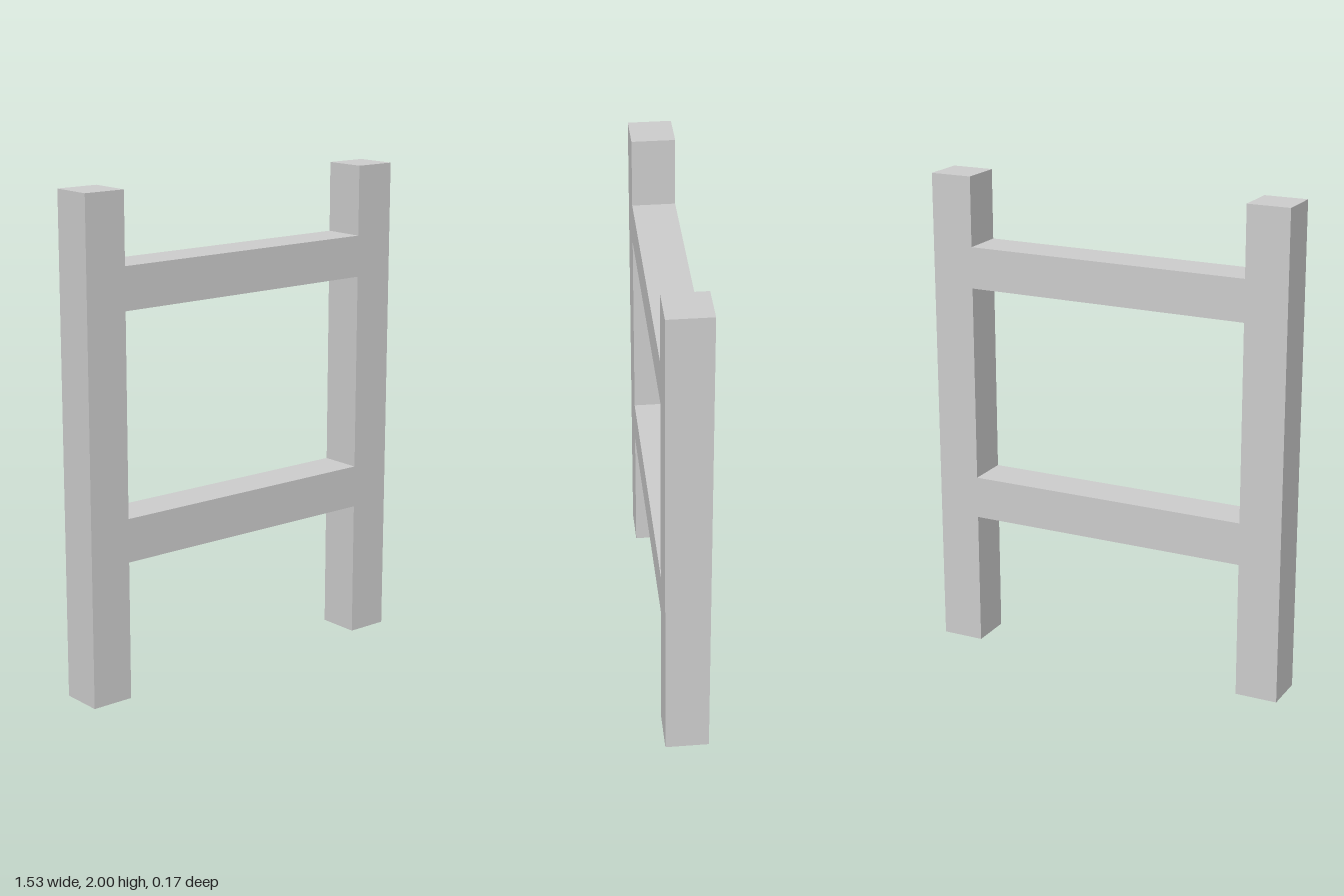
import * as THREE from 'three';

const OUTER = 0.765; // outer face of the posts
const INNER = 0.59; // inner face of the posts
const DEPTH = 0.175;
const HEIGHT = 2;
const lowerRail = { bottom: 0.56, top: 0.735 };
const upperRail = { bottom: 1.545, top: 1.715 };

const points = (list) => list.map(([x, y]) => new THREE.Vector2(x, y));

export function createModel() {
  const model = new THREE.Group();
  model.name = 'ladderFrame';

  const grey = new THREE.MeshStandardMaterial({ color: 0xcccccc });
  grey.name = 'light grey';

  // Two posts joined by two rails, as one seamless outline
  const outline = new THREE.Shape(points([
    [-OUTER, 0], [-INNER, 0], [-INNER, lowerRail.bottom],
    [INNER, lowerRail.bottom], [INNER, 0], [OUTER, 0],
    [OUTER, HEIGHT], [INNER, HEIGHT], [INNER, upperRail.top],
    [-INNER, upperRail.top], [-INNER, HEIGHT], [-OUTER, HEIGHT],
  ]));

  // Opening between the rails
  outline.holes.push(new THREE.Path(points([
    [-INNER, lowerRail.top], [-INNER, upperRail.bottom],
    [INNER, upperRail.bottom], [INNER, lowerRail.top],
  ])));

  const geometry = new THREE.ExtrudeGeometry(outline, { depth: DEPTH, bevelEnabled: false });
  geometry.translate(0, 0, -DEPTH / 2);

  const frame = new THREE.Mesh(geometry, grey);
  frame.name = 'postsAndRails';
  model.add(frame);
  return model;
}
